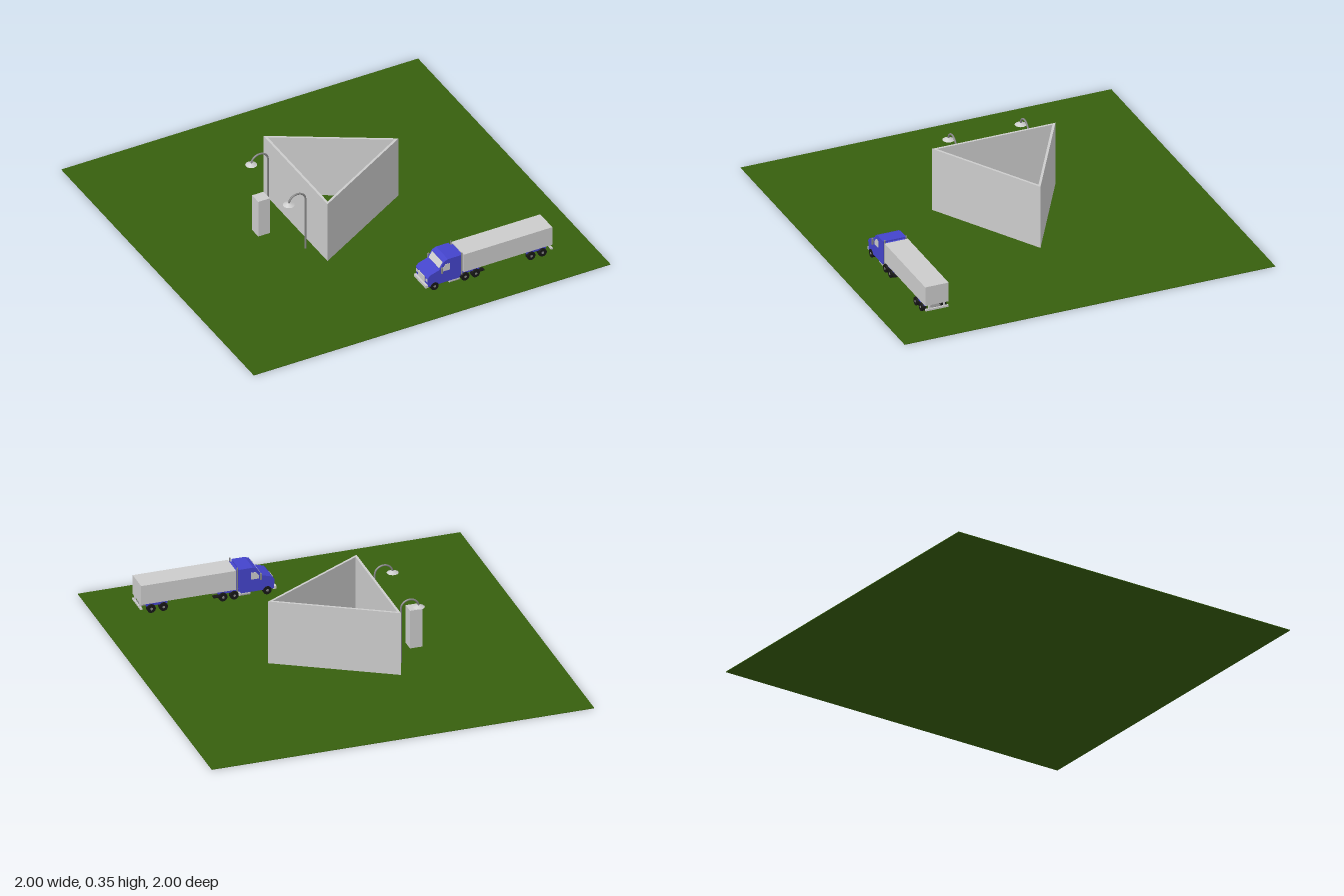
import * as THREE from 'three';

const mat = (name, color) => {
  const m = new THREE.MeshStandardMaterial({ color });
  m.name = name;
  return m;
};

export function createModel() {
  const green = mat('grass green', 0x375f0d);
  const grey = mat('light grey', 0xcccccc);
  const metal = mat('metal grey', 0x858585);
  const blue = mat('cab blue', 0x4444cc);
  const black = mat('tyre black', 0x161616);
  const root = new THREE.Group();
  root.name = 'yard';

  const add = (parent, name, geo, m, x = 0, y = 0, z = 0) => {
    const mesh = new THREE.Mesh(geo, m);
    mesh.name = name;
    mesh.position.set(x, y, z);
    parent.add(mesh);
    return mesh;
  };
  // box given by its low and high corners
  const box = (parent, name, m, [x0, y0, z0], [x1, y1, z1]) =>
    add(parent, name, new THREE.BoxGeometry(x1 - x0, y1 - y0, z1 - z0), m,
      (x0 + x1) / 2, (y0 + y1) / 2, (z0 + z1) / 2);

  box(root, 'ground', green, [-1, 0, -1], [1, 0.003, 1]);

  // open-topped triangular building
  const tri = (s, cx, cz) => [[-0.217, -0.352], [-0.217, 0.314], [0.36, -0.016]]
    .map(([x, z]) => new THREE.Vector2(cx + (x - cx) * s, -(cz + (z - cz) * s)));
  const plan = new THREE.Shape(tri(1, -0.025, -0.018));
  plan.holes.push(new THREE.Path(tri(0.936, -0.025, -0.018)));
  const walls = add(root, 'triangularWalls',
    new THREE.ExtrudeGeometry(plan, { depth: 0.343, bevelEnabled: false }), grey, 0, 0.003, 0);
  walls.rotation.x = -Math.PI / 2;

  box(root, 'signPillar', grey, [-0.418, 0.003, -0.098], [-0.353, 0.212, -0.033]);

  // curved street lamps
  for (const z of [-0.225, 0.165]) {
    const lamp = new THREE.Group();
    lamp.name = 'streetLamp';
    lamp.position.z = z;
    root.add(lamp);
    add(lamp, 'pole', new THREE.CylinderGeometry(0.005, 0.005, 0.3, 10), metal, -0.26, 0.152, 0);
    const arc = [];
    for (let i = 0; i <= 8; i++) {
      const a = Math.PI * i / 8;
      arc.push(new THREE.Vector3(-0.307 + 0.047 * Math.cos(a), 0.3 + 0.045 * Math.sin(a), 0));
    }
    add(lamp, 'arm', new THREE.TubeGeometry(new THREE.CatmullRomCurve3(arc), 20, 0.005, 8), metal);
    add(lamp, 'shade', new THREE.CylinderGeometry(0.007, 0.03, 0.011, 16), grey, -0.354, 0.302, 0);
  }

  // truck, driving towards -x
  const truck = new THREE.Group();
  truck.name = 'truck';
  truck.position.z = 0.731;
  root.add(truck);
  const side = new THREE.Shape([
    [0.09, 0.04], [0.262, 0.04], [0.27, 0.05], [0.27, 0.172], [0.2, 0.172], [0.178, 0.163],
    [0.152, 0.122], [0.1, 0.106], [0.087, 0.09],
  ].map(p => new THREE.Vector2(...p)));
  add(truck, 'cab', new THREE.ExtrudeGeometry(side, { depth: 0.124, bevelEnabled: false }),
    blue, 0, 0, -0.062);
  box(truck, 'cabFairing', blue, [0.27, 0.06, -0.05], [0.288, 0.165, 0.05]);
  const pane = new THREE.Shape([[0.168, 0.108], [0.21, 0.108], [0.21, 0.146], [0.186, 0.146], [0.17, 0.126]]
    .map(p => new THREE.Vector2(...p)));
  const glass = new THREE.ExtrudeGeometry(pane, { depth: 0.002, bevelEnabled: false });
  const shield = add(truck, 'windscreen', new THREE.BoxGeometry(0.036, 0.002, 0.108), grey, 0.1645, 0.1428, 0);
  shield.rotation.z = Math.atan2(0.041, 0.026);
  box(truck, 'grille', grey, [0.083, 0.055, -0.03], [0.088, 0.088, 0.03]);
  box(truck, 'frontBumper', grey, [0.076, 0.034, -0.06], [0.092, 0.05, 0.06]);

  // trailer and running gear
  box(truck, 'trailer', grey, [0.288, 0.065, -0.063], [0.785, 0.17, 0.063]);
  box(truck, 'chassis', metal, [0.2, 0.038, -0.022], [0.4, 0.05, 0.022]);
  box(truck, 'coupling', blue, [0.27, 0.05, -0.055], [0.38, 0.065, 0.055]);
  box(truck, 'rearBogie', blue, [0.645, 0.048, -0.055], [0.755, 0.065, 0.055]);
  box(truck, 'rearFrame', metal, [0.635, 0.038, -0.025], [0.78, 0.048, 0.025]);
  box(truck, 'rearBumper', grey, [0.778, 0.036, -0.062], [0.788, 0.046, 0.062]);
  for (const s of [-1, 1])
    box(truck, 'bumperPost', grey, [0.776, 0.046, s * 0.04 - 0.004], [0.786, 0.066, s * 0.04 + 0.004]);

  for (const s of [-1, 1]) {
    add(truck, 'sideWindow', glass, grey, 0, 0, s > 0 ? 0.062 : -0.064);
    box(truck, 'mirror', metal, [0.158, 0.105, s * 0.072 - 0.004], [0.166, 0.138, s * 0.072 + 0.004]);
    box(truck, 'mirrorArm', metal, [0.16, 0.12, s * 0.066 - 0.006], [0.165, 0.124, s * 0.066 + 0.006]);
    add(truck, 'exhaustStack', new THREE.CylinderGeometry(0.004, 0.004, 0.13, 8), metal, 0.28, 0.117, s * 0.058);
    const tank = add(truck, 'fuelTank', new THREE.CylinderGeometry(0.014, 0.014, 0.055, 14), grey, 0.24, 0.034, s * 0.046);
    tank.rotation.z = Math.PI / 2;
    add(truck, 'headlight', new THREE.BoxGeometry(0.004, 0.014, 0.016), grey, 0.087, 0.075, s * 0.05);
    box(truck, 'mudguard', black, [0.375, 0.036, s * 0.05 - 0.012], [0.405, 0.041, s * 0.05 + 0.012]);
    for (const x of [0.125, 0.297, 0.356, 0.667, 0.731]) {
      const wheel = add(truck, 'wheel', new THREE.CylinderGeometry(0.022, 0.022, 0.024, 18), black, x, 0.035, s * 0.053);
      wheel.rotation.x = Math.PI / 2;
      const hub = add(truck, 'hub', new THREE.CylinderGeometry(0.007, 0.007, 0.026, 10), metal, x, 0.035, s * 0.053);
      hub.rotation.x = Math.PI / 2;
    }
  }
  return root;
}
